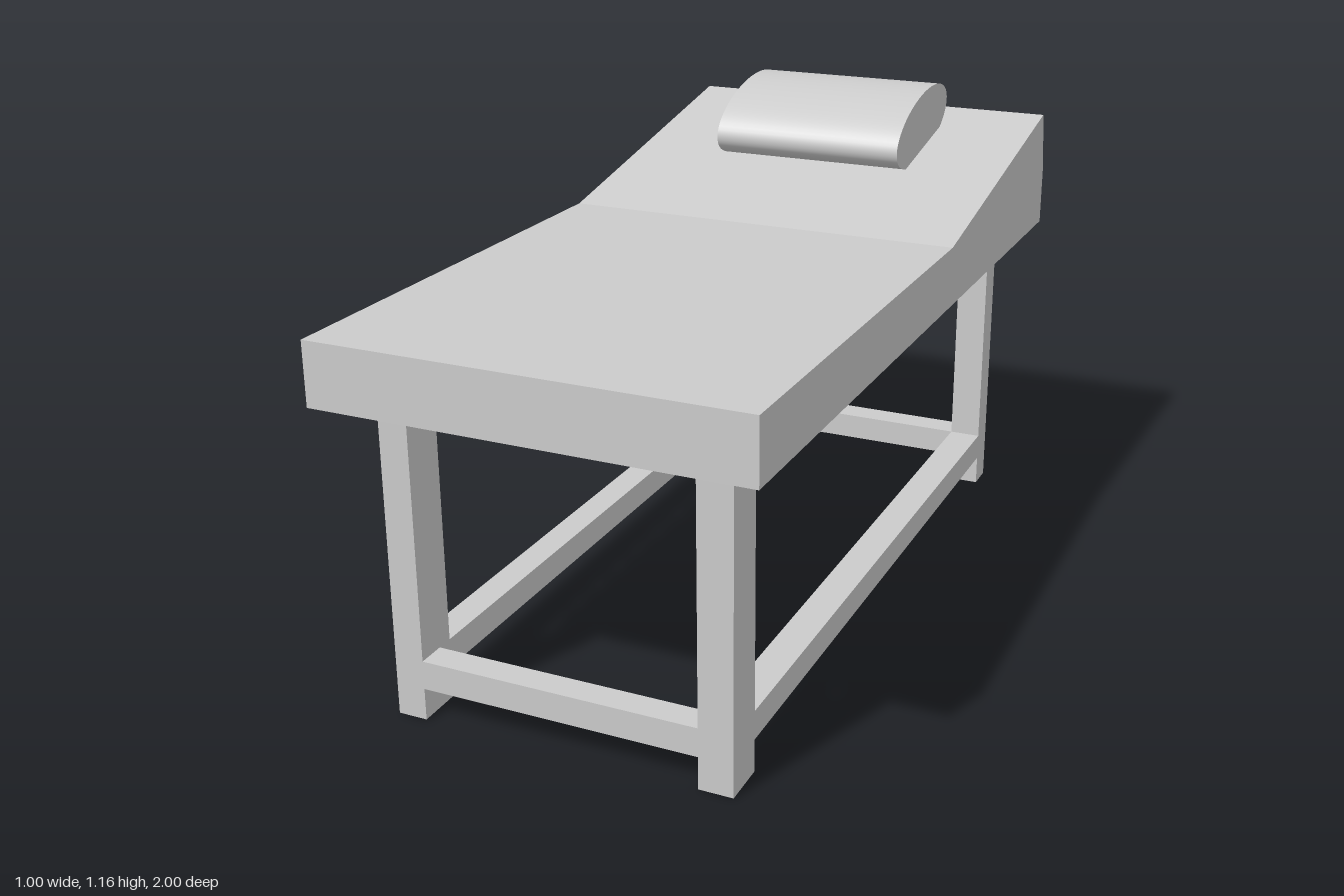
import * as THREE from 'three';

const material = new THREE.MeshStandardMaterial({ color: 0xcccccc });

// Extrude a [z, y] side profile across the width, centred on x = 0
function sideExtrude(name, shape, width) {
  const geometry = new THREE.ExtrudeGeometry(shape, { depth: width, bevelEnabled: false, curveSegments: 32 });
  geometry.translate(0, 0, -width / 2);
  geometry.rotateY(-Math.PI / 2); // shape x becomes z
  const mesh = new THREE.Mesh(geometry, material);
  mesh.name = name;
  return mesh;
}

const polygon = (points) => new THREE.Shape(points.map(([z, y]) => new THREE.Vector2(z, y)));

// Box given by its extents on each axis
function boxBetween(name, [x0, x1], [y0, y1], [z0, z1]) {
  const mesh = new THREE.Mesh(new THREE.BoxGeometry(x1 - x0, y1 - y0, z1 - z0), material);
  mesh.position.set((x0 + x1) / 2, (y0 + y1) / 2, (z0 + z1) / 2);
  mesh.name = name;
  return mesh;
}

export function createModel() {
  const model = new THREE.Group();
  model.name = 'massageTable';

  // Padded top: flat body section and raised head section
  model.add(sideExtrude('mattress', polygon([
    [1, 0.753], [1, 0.9], [-0.16, 0.9], [-0.967, 1.06], [-1, 0.912], [-0.165, 0.753],
  ]), 1));

  // Wedge supporting the raised head section
  model.add(sideExtrude('headWedge', polygon([[-0.165, 0.753], [-1, 0.912], [-1, 0.753]]), 1));

  // Bolster pillow, tilted with the head section and sunk a little into it
  const ellipse = new THREE.Shape();
  ellipse.absellipse(-0.678, 1.066, 0.21, 0.085, 0, Math.PI * 2, false, -0.196);
  const pillow = sideExtrude('pillow', ellipse, 0.5);
  smoothRound(pillow.geometry);
  model.add(pillow);

  // Legs: the foot-end pair is deeper than the head-end pair
  const legX = { left: [0.32, 0.4], right: [-0.41, -0.34] };
  const legZ = { front: [0.78, 0.888], back: [-0.916, -0.842] };
  for (const [side, x] of Object.entries(legX)) {
    for (const [end, z] of Object.entries(legZ)) {
      model.add(boxBetween(`${end}${side}Leg`, x, [0, 0.755], z));
    }
  }

  // Stretcher rails, flush with the outer faces of the legs
  const railY = [0.077, 0.145];
  for (const [side, x] of Object.entries(legX)) {
    model.add(boxBetween(`${side}Rail`, x, railY, [-0.842, 0.78]));
  }
  model.add(boxBetween('frontRail', [-0.34, 0.32], railY, [0.82, 0.888]));
  model.add(boxBetween('backRail', [-0.34, 0.32], railY, [-0.916, -0.842]));

  return model;
}

// Smooth normals around the elliptical wall, leaving the end caps flat
function smoothRound(geometry) {
  const p = geometry.attributes.position, n = geometry.attributes.normal;
  const c = Math.cos(0.196), s = -Math.sin(0.196);
  const v = new THREE.Vector3();
  for (let i = 0; i < p.count; i++) {
    if (Math.abs(n.getX(i)) > 0.5) continue;
    const z = p.getZ(i) + 0.678, y = p.getY(i) - 1.066;
    const a = (z * c + y * s) / 0.21 ** 2, b = (y * c - z * s) / 0.085 ** 2;
    v.set(0, a * s + b * c, a * c - b * s).normalize();
    n.setXYZ(i, v.x, v.y, v.z);
  }
}
